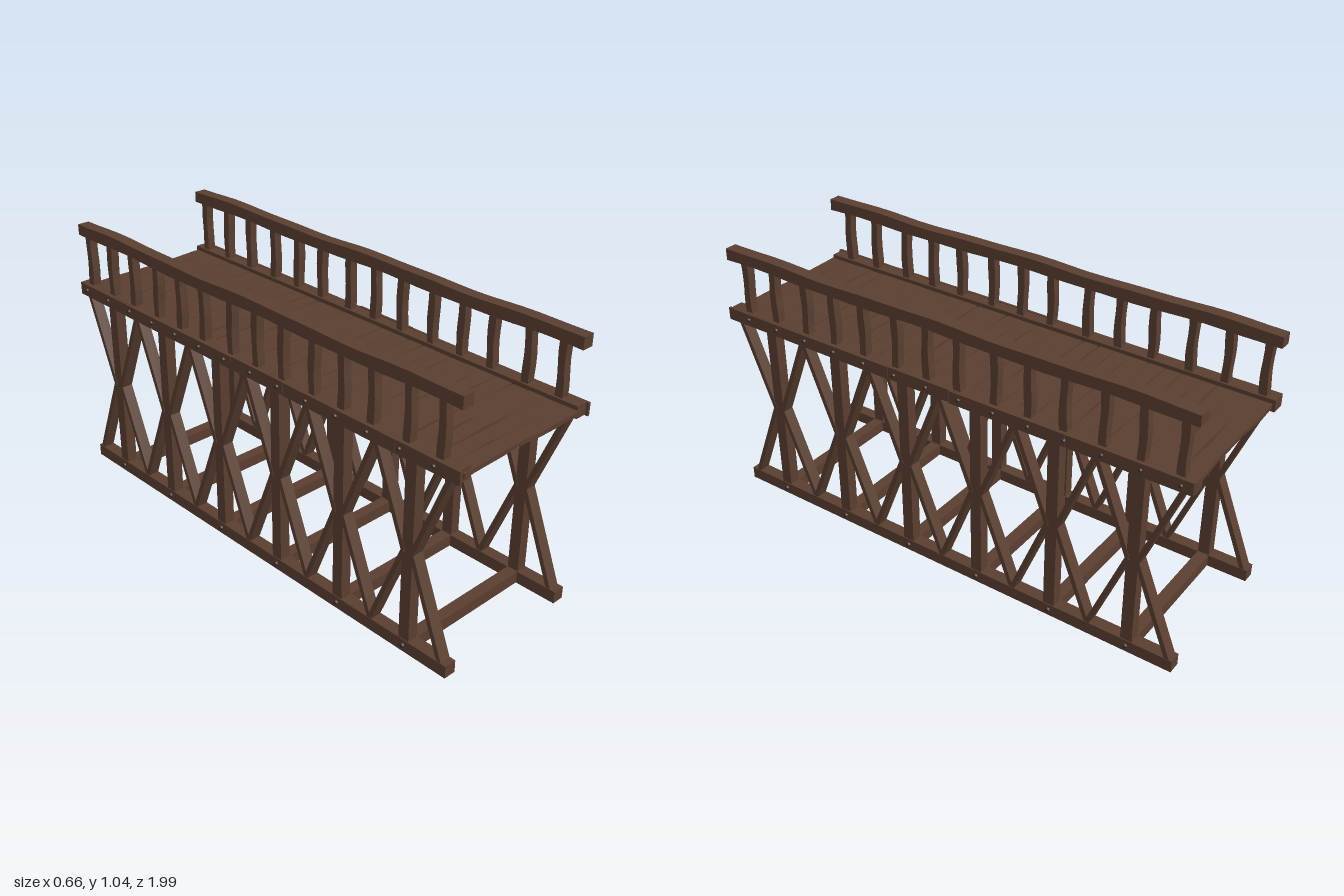
import * as THREE from 'three';

const wood = new THREE.MeshStandardMaterial({ color: 0x5a3f30 });
wood.name = 'darkWood';
const iron = new THREE.MeshStandardMaterial({ color: 0x45312a });
iron.name = 'darkBolt';

const SIDE_X = 0.29;
const POSTS = [0.79, 0.472, 0.155, -0.163, -0.482, -0.8];
const BALUSTERS = [0.9, 0.762, 0.607, 0.473, 0.334, 0.184, 0.05, -0.083, -0.238, -0.372, -0.51, -0.66, -0.8, -0.94];

// Small seeded generator for hand-hewn irregularity, range -1..1
function seeded(seed) {
  let s = seed;
  return () => {
    s = (s * 16807) % 2147483647;
    return (s / 2147483647) * 2 - 1;
  };
}

export function createModel() {
  const model = new THREE.Group();
  model.name = 'timberBridge';
  const rand = seeded(4217);

  function add(name, geometry, x, y, z, parent = model, material = wood) {
    const mesh = new THREE.Mesh(geometry, material);
    mesh.name = name;
    mesh.position.set(x, y, z);
    parent.add(mesh);
    return mesh;
  }

  // Move each vertex by a rule, then make facets flat
  function bend(geometry, rule) {
    const p = geometry.attributes.position;
    const v = new THREE.Vector3();
    for (let i = 0; i < p.count; i++) {
      v.fromBufferAttribute(p, i);
      rule(v);
      p.setXYZ(i, v.x, v.y, v.z);
    }
    const flat = geometry.toNonIndexed();
    flat.computeVertexNormals();
    return flat;
  }

  // Straight timber between two points in the side plane
  function strut(name, parent, x, y0, z0, y1, z1, width, depth) {
    const length = Math.hypot(y1 - y0, z1 - z0);
    const mesh = add(name, new THREE.BoxGeometry(width, length, depth), x, (y0 + y1) / 2, (z0 + z1) / 2, parent);
    mesh.rotation.x = Math.atan2(z1 - z0, y1 - y0);
  }

  function bolt(parent, side, x, y, z, radius) {
    const mesh = add('bolt', new THREE.CylinderGeometry(radius * 0.7, radius, 0.01, 8), side * x, y, z, parent, iron);
    mesh.rotation.z = -side * Math.PI / 2;
  }

  // Deck planks with uneven long edges
  const deck = new THREE.Group();
  deck.name = 'deck';
  model.add(deck);
  const count = 29;
  const pitch = 1.975 / count;
  for (let i = 0; i < count; i++) {
    const a = rand() * 3, b = rand() * 3;
    const plank = bend(new THREE.BoxGeometry(0.6, 0.017, pitch - 0.004, 10, 1, 1), (v) => {
      v.z += 0.0035 * Math.sin(v.x * 13 + (v.z > 0 ? a : b)) + 0.0015 * Math.sin(v.x * 31 + a);
    });
    add('plank', plank, 0, 0.771 + rand() * 0.001, -0.985 + pitch * (i + 0.5), deck);
  }

  // Ground ties between the two sides
  for (const z of POSTS) add('groundTie', new THREE.BoxGeometry(0.55, 0.046, 0.046), 0, 0.024, z);

  for (const side of [-1, 1]) {
    const x = side * SIDE_X;
    const frame = new THREE.Group();
    frame.name = side > 0 ? 'leftSide' : 'rightSide';
    model.add(frame);

    add('groundBeam', new THREE.BoxGeometry(0.049, 0.048, 1.96), x, 0.024, 0, frame);
    add('deckBeam', new THREE.BoxGeometry(0.05, 0.046, 1.98), x, 0.772, -0.005, frame);

    // Fascia boards laid end to end on the outer face
    const joints = [-0.995, -0.53, -0.06, 0.21, 0.73, 0.995];
    for (let i = 0; i < joints.length - 1; i++) {
      const length = joints[i + 1] - joints[i] - 0.002;
      const board = add('fasciaBoard', new THREE.BoxGeometry(0.01, 0.049, length),
        side * 0.318, 0.772 + rand() * 0.002, (joints[i] + joints[i + 1]) / 2, frame);
      board.rotation.x = rand() * 0.004;
    }
    for (let i = 0; i < 14; i++) bolt(frame, side, 0.325, 0.772, -0.95 + i * 0.1415, 0.009);

    // Posts and the four braces springing from the middle of each
    for (const z of POSTS) {
      add('post', new THREE.BoxGeometry(0.042, 0.72, 0.045), x, 0.395, z, frame);
      bolt(frame, side, 0.317, 0.025, z, 0.011);
      for (const dir of [-1, 1]) {
        for (const endY of [0.043, 0.757]) {
          strut('brace', frame, x, 0.4, z + dir * 0.018, endY, z + dir * 0.16, 0.045, 0.018);
        }
      }
    }

    // Slightly crooked balusters
    for (const z of BALUSTERS) {
      const a = rand() * 3;
      const baluster = bend(new THREE.BoxGeometry(0.033, 0.21, 0.029, 1, 6, 1), (v) => {
        v.z += 0.0025 * Math.sin(v.y * 30 + a + (v.z > 0 ? 1 : 0));
      });
      add('baluster', baluster, x, 0.893, z, frame);
    }

    // Gently wavy handrail
    const rail = bend(new THREE.BoxGeometry(0.048, 0.045, 1.97, 1, 1, 28), (v) => {
      v.y += 0.0035 * Math.sin(v.z * 8 + 1) + 0.0015 * Math.sin(v.z * 17 + (v.y > 0 ? 2 : 0));
    });
    add('handrail', rail, x, 1.0165, -0.005, frame);
  }
  return model;
}
